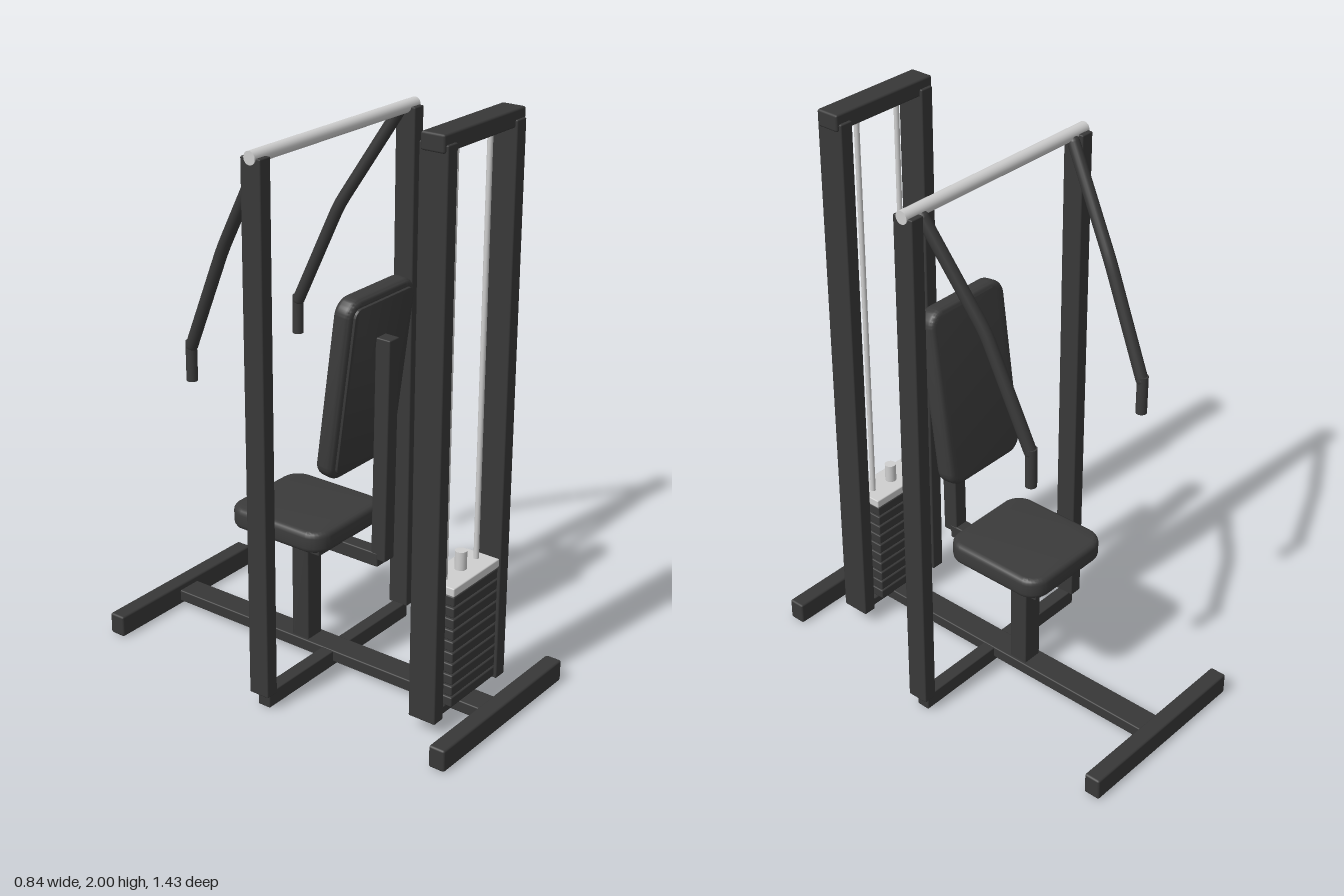
import * as THREE from 'three';
import { toCreasedNormals } from 'three/addons/utils/BufferGeometryUtils.js';
import { RoundedBoxGeometry } from 'three/addons/geometries/RoundedBoxGeometry.js';

const material = (name, color) => {
  const m = new THREE.MeshStandardMaterial({ color });
  m.name = name;
  return m;
};

export function createModel() {
  const frame = material('dark frame', 0x383838);
  const pad = material('dark padding', 0x3b3b3b);
  const chrome = material('chrome', 0xcfcfcf);
  const model = new THREE.Group();
  model.name = 'chestPressMachine';

  const add = (name, geometry, mat, x = 0, y = 0, z = 0, parent = model) => {
    const mesh = new THREE.Mesh(geometry, mat);
    mesh.name = name;
    mesh.position.set(x, y, z);
    parent.add(mesh);
    return mesh;
  };

  // Bar given by its lower and upper limits on each axis
  const bar = (name, [x0, x1], [y0, y1], [z0, z1], mat = frame, r = 0.004) =>
    add(name, new RoundedBoxGeometry(x1 - x0, y1 - y0, z1 - z0, 1, r), mat,
      (x0 + x1) / 2, (y0 + y1) / 2, (z0 + z1) / 2);

  const rod = (name, radius, y0, y1, x, z, mat) =>
    add(name, new THREE.CylinderGeometry(radius, radius, y1 - y0, 20), mat, x, (y0 + y1) / 2, z);

  // Upholstered cushion: a rounded rectangle with a soft bevel, thickness along z
  const cushion = (w, h, t, r, b) => {
    const x = w / 2 - b, y = h / 2 - b, c = r - b;
    const s = new THREE.Shape();
    s.moveTo(-x + c, -y);
    s.lineTo(x - c, -y);
    s.absarc(x - c, -y + c, c, -Math.PI / 2, 0);
    s.lineTo(x, y - c);
    s.absarc(x - c, y - c, c, 0, Math.PI / 2);
    s.lineTo(-x + c, y);
    s.absarc(-x + c, y - c, c, Math.PI / 2, Math.PI);
    s.lineTo(-x, -y + c);
    s.absarc(-x + c, -y + c, c, Math.PI, Math.PI * 1.5);
    const g = new THREE.ExtrudeGeometry(s, {
      depth: t - 2 * b, bevelSize: b, bevelThickness: b, bevelSegments: 4, curveSegments: 8,
    });
    g.translate(0, 0, b - t / 2);
    return toCreasedNormals(g, 0.6);
  };

  // Base
  bar('frontFoot', [-0.35, 0.35], [0.005, 0.083], [0.657, 0.717], frame, 0.007);
  bar('backFoot', [-0.35, 0.35], [0.005, 0.083], [-0.717, -0.657], frame, 0.007);
  bar('centreBeam', [-0.047, 0.047], [0.02, 0.062], [-0.66, 0.66]);
  bar('baseCrossBar', [-0.39, 0.39], [0.003, 0.06], [-0.003, 0.046]);

  // Weight tower and press uprights
  for (const side of [-1, 1]) {
    const span = (a, b) => (side > 0 ? [a, b] : [-b, -a]);
    bar('towerUpright', span(0.157, 0.206), [0.052, 1.968], [0.477, 0.58]);
    bar('pressUpright', span(0.367, 0.416), [0.057, 1.885], [-0.017, 0.06]);
    rod('guideRod', 0.009, 0.08, 1.945, side * 0.09, 0.528, chrome);
  }
  bar('towerTop', [-0.215, 0.215], [1.943, 2], [0.487, 0.572], frame, 0.007);
  bar('towerBase', [-0.16, 0.16], [0.055, 0.084], [0.49, 0.566]);

  // Weight stack
  const count = 10, pitch = 0.041;
  for (let i = 0; i < count; i++) {
    const y = 0.083 + i * pitch;
    bar('weightPlate', [-0.126, 0.126], [y, y + pitch - 0.006], [0.467, 0.59]);
  }
  bar('stackCore', [-0.11, 0.11], [0.083, 0.492], [0.48, 0.577]);
  bar('stackTopPlate', [-0.131, 0.131], [0.49, 0.52], [0.465, 0.592], chrome);
  rod('stackStem', 0.02, 0.515, 0.585, 0, 0.528, chrome);

  // Seat and its support
  bar('seatPost', [-0.037, 0.037], [0.055, 0.485], [-0.14, -0.07]);
  bar('seatArm', [-0.027, 0.027], [0.432, 0.482], [-0.1, 0.215]);
  bar('seatPlate', [-0.155, 0.155], [0.478, 0.495], [-0.28, 0.07]);
  add('seat', cushion(0.376, 0.4, 0.076, 0.07, 0.02), pad, 0, 0.53, -0.105).rotation.x = -Math.PI / 2;

  // Backrest and its support
  bar('backrestPost', [-0.026, 0.026], [0.458, 1.245], [0.193, 0.25]).rotation.x = 0.013;
  const backrest = new THREE.Group();
  backrest.name = 'backrest';
  backrest.position.set(0, 1.087, 0.139);
  backrest.rotation.x = 0.132;
  model.add(backrest);
  add('backrestPad', cushion(0.354, 0.64, 0.068, 0.06, 0.02), pad, 0, 0, 0, backrest);
  add('backrestPlate', cushion(0.31, 0.59, 0.014, 0.03, 0.002), frame, 0, 0, 0.036, backrest);

  // Pivot bar with hanging press arms
  add('pivotBar', new THREE.CylinderGeometry(0.022, 0.022, 0.84, 24), chrome, 0, 1.885, 0.022)
    .rotation.z = Math.PI / 2;
  for (const side of [-1, 1]) {
    const p = (x, y, z) => new THREE.Vector3(side * x, y, z);
    const top = p(0.348, 1.865, 0.005), bend = p(0.298, 1.53, -0.195), end = p(0.277, 1.165, -0.355);
    const a = bend.clone().lerp(top, 0.1), b = bend.clone().lerp(end, 0.1);
    const path = new THREE.CurvePath();
    path.add(new THREE.LineCurve3(top, a));
    path.add(new THREE.QuadraticBezierCurve3(a, bend, b));
    path.add(new THREE.LineCurve3(b, end));
    add('pressArm', new THREE.TubeGeometry(path, 40, 0.021, 16), frame);
    for (const q of [top, end]) {
      add('pressArmEnd', new THREE.SphereGeometry(0.021, 16, 10), frame, q.x, q.y, q.z);
    }
    rod('handGrip', 0.019, 1.042, 1.18, side * 0.277, -0.358, pad);
  }
  return model;
}
